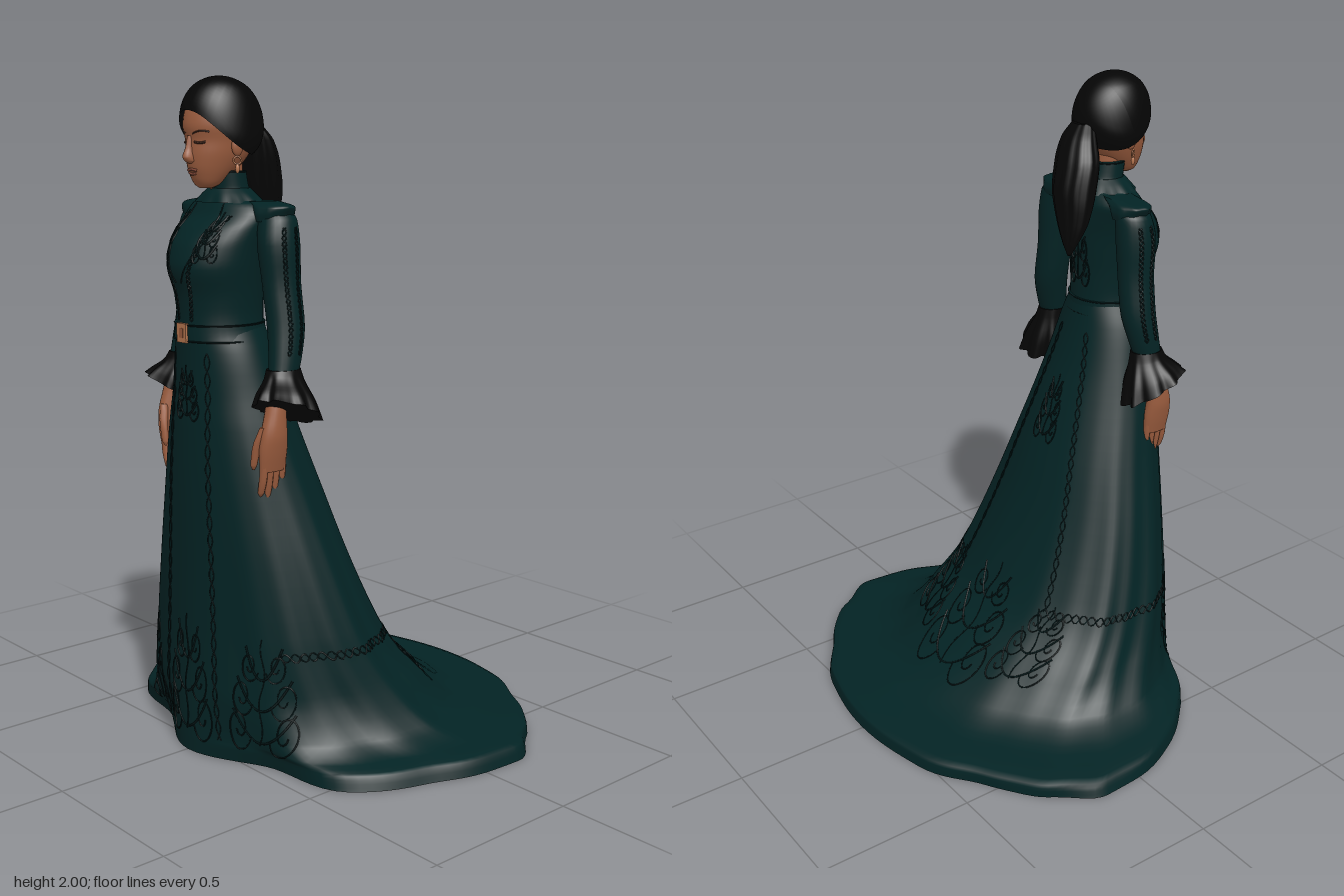
import * as THREE from 'three';

const mat = (name, color) => {
  const m = new THREE.MeshStandardMaterial({ color });
  m.name = name;
  return m;
};

// Smooth monotone interpolation of profile rows [y, cx, rx, zFront, zBack, zWidest]
function rowAt(rows, y) {
  let i = 0;
  while (i < rows.length - 2 && y > rows[i + 1][0]) i++;
  const h = rows[i + 1][0] - rows[i][0];
  const t = Math.min(1, Math.max(0, (y - rows[i][0]) / h));
  const secant = (k, c) => (rows[k + 1][c] - rows[k][c]) / (rows[k + 1][0] - rows[k][0]);
  const slope = (k, c) => {
    if (k === 0) return secant(0, c);
    if (k === rows.length - 1) return secant(k - 1, c);
    const p = secant(k - 1, c), q = secant(k, c);
    return p * q <= 0 ? 0 : (2 * p * q) / (p + q);
  };
  return rows[i].map((v, c) => v * (1 + 2 * t) * (1 - t) ** 2 + rows[i + 1][c] * t * t * (3 - 2 * t)
    + h * (slope(i, c) * t * (1 - t) ** 2 + slope(i + 1, c) * t * t * (t - 1)));
}

// Surface made of horizontal rings: angle 0 is the front, PI/2 is +x
function surface(rawRows, warp) {
  const rows = rawRows.map(r => (r.length > 5 ? r : [...r, (r[3] + r[4]) / 2])).sort((a, b) => a[0] - b[0]);
  const point = (a, y) => {
    const [, cx, rx, zf, zb, zw] = rowAt(rows, y);
    const s = Math.sin(a), c = Math.cos(a);
    const k = warp && warp.fold ? 1 + warp.fold(a, y) : 1;
    const p = new THREE.Vector3(cx + rx * s * k, y, zw + (c > 0 ? zf - zw : zw - zb) * c * k);
    if (warp && warp.shear) p.y += warp.shear(p, a, cx, zw);
    return p;
  };
  // Point at a given x, on the front or back half
  const atX = (x, y, back) => {
    const r = rowAt(rows, y);
    const a = Math.asin(Math.max(-1, Math.min(1, (x - r[1]) / r[2])));
    return point(back ? Math.PI - a : a, y);
  };
  return { rows, point, atX };
}

// Closed loft over a surface, with end caps
function loft(surf, seg = 32, steps = 4) {
  const ys = [], pos = [], idx = [];
  surf.rows.forEach((r, i) => {
    const next = surf.rows[i + 1];
    for (let k = 0; k < (next ? steps : 1); k++) ys.push(next ? r[0] + (next[0] - r[0]) * k / steps : r[0]);
  });
  const ring = y => {
    for (let j = 0; j < seg; j++) pos.push(...surf.point(j / seg * Math.PI * 2, y).toArray());
  };
  ys.forEach(ring);
  for (let i = 0; i < ys.length - 1; i++) for (let j = 0; j < seg; j++) {
    const a = i * seg + j, b = i * seg + (j + 1) % seg;
    idx.push(a, b, b + seg, a, b + seg, a + seg);
  }
  [0, ys.length - 1].forEach((r, top) => {
    const base = pos.length / 3;
    ring(ys[r]);
    const c = new THREE.Vector3();
    for (let j = 0; j < seg; j++) c.add(new THREE.Vector3().fromArray(pos, (base + j) * 3));
    pos.push(...c.divideScalar(seg).toArray());
    for (let j = 0; j < seg; j++) {
      const a = base + j, b = base + (j + 1) % seg;
      idx.push(base + seg, top ? a : b, top ? b : a);
    }
  });
  const g = new THREE.BufferGeometry();
  g.setAttribute('position', new THREE.Float32BufferAttribute(pos, 3));
  g.setIndex(idx);
  g.computeVertexNormals();
  return g;
}

function mirrorX(g) {
  const m = g.clone().scale(-1, 1, 1), ix = m.index.array;
  for (let i = 0; i < ix.length; i += 3) [ix[i], ix[i + 1]] = [ix[i + 1], ix[i]];
  m.computeVertexNormals();
  return m;
}

const cord = (pts, r = 0.0026) =>
  new THREE.TubeGeometry(new THREE.CatmullRomCurve3(pts), pts.length * 2, r, 4);
const sample = (n, fn) => Array.from({ length: n + 1 }, (_, i) => fn(i / n));
const ball = (r, sx, sy, sz, x, y, z) => new THREE.SphereGeometry(r, 20, 14).scale(sx, sy, sz).translate(x, y, z);

// Spread of the hem at 16 even angles, from the front round by +x
const HEM = [1, .93, 1.07, 1.02, 1.005, .935, .91, .98, 1, .98, .91, .935, 1.01, 1.01, 1, .9];
function hemSpread(a) {
  const u = ((a / (Math.PI * 2)) * 16 + 32) % 16, i = Math.floor(u), t = u - i;
  return THREE.MathUtils.lerp(HEM[i], HEM[(i + 1) % 16], t * t * (3 - 2 * t)) - 1;
}

export function createModel() {
  const model = new THREE.Group();
  const teal = mat('teal cloth', 0x032324), stitch = mat('dark embroidery', 0x031516);
  const black = mat('black hair and lace', 0x050505), skin = mat('skin', 0x9a5c3e);
  const lip = mat('lips', 0x864b3a), dark = mat('eyes and brows', 0x42281d), gold = mat('copper metal', 0xb5754f);
  black.side = THREE.DoubleSide;
  const add = (name, g, m) => {
    const mesh = new THREE.Mesh(g, m);
    mesh.name = name;
    model.add(mesh);
  };
  const pair = (name, g, m) => { add(name + 'Left', g, m); add(name + 'Right', mirrorX(g), m); };

  // Skirt with folds and a spreading train
  const skirt = surface([
    [1.3, 0, .12, .545, .285, .41], [1.22, 0, .155, .54, .268, .4], [1.1, 0, .187, .54, .235, .38],
    [1, 0, .215, .545, .2, .37], [.8, 0, .272, .55, .13, .33], [.6, 0, .332, .55, .06, .29],
    [.4, 0, .388, .552, -.03, .24], [.3, 0, .415, .555, -.09, .2], [.2, 0, .45, .558, -.19, .14],
    [.1, 0, .51, .56, -.31, .06], [.06, 0, .585, .56, -.4, 0], [.04, 0, .7, .56, -.56, -.12], [0, 0, .715, .56, -.568, -.13],
  ], { fold: (a, y) => {
    const low = Math.min(1, Math.max(0, (1.15 - y) / .8)), hem = Math.max(0, 1 - y / .2);
    const ripple = (.003 + .014 * Math.sin(a) ** 2) * (1 - .75 * hem);
    return low * ripple * (Math.sin(9 * a + .4) + .6 * Math.cos(19 * a)) + hem * hemSpread(a);
  } });
  add('skirt', loft(skirt, 128, 4), teal);

  // Bodice, collar, belt and buckle
  const bodice = surface([
    [1.26, 0, .126, .546, .283], [1.32, 0, .122, .545, .285], [1.38, 0, .127, .55, .285], [1.46, 0, .14, .572, .28],
    [1.52, 0, .149, .556, .278], [1.57, 0, .158, .52, .275], [1.61, 0, .165, .475, .275], [1.64, 0, .145, .455, .285],
    [1.66, 0, .085, .442, .3], [1.68, 0, .062, .435, .318], [1.735, 0, .06, .442, .33],
  ]);
  add('bodice', loft(bodice, 40), teal);
  add('collarRuffle', loft(surface([
    [1.685, 0, .064, .437, .316], [1.668, 0, .09, .45, .302], [1.645, 0, .12, .465, .285],
  ], { fold: (a, y) => (1.685 - y) * .8 * Math.cos(12 * a) }), 72), teal);
  const belt = surface([[1.25, 0, .139, .55, .276], [1.275, 0, .13, .551, .28], [1.3, 0, .127, .551, .281]]);
  add('belt', loft(belt, 40, 2), teal);
  for (const y of [1.252, 1.298]) add('beltEdge', cord(sample(40, t => belt.point(t * Math.PI * 2, y))), stitch);
  add('buckle', new THREE.BoxGeometry(.044, .056, .01).translate(0, 1.275, .551), gold);
  add('buckleInset', new THREE.BoxGeometry(.018, .028, .004).translate(0, 1.275, .5555), skin);
  add('throat', ball(.014, .8, 1.6, .4, 0, 1.705, .441), skin);

  // Sleeves, pointed shoulder flanges and lace cuffs
  const sleeve = surface([
    [1.635, .165, .04, .385, .305], [1.6, .184, .054, .402, .288], [1.53, .194, .057, .415, .285], [1.42, .203, .051, .407, .288],
    [1.32, .218, .05, .405, .288], [1.2, .237, .042, .415, .315], [1.12, .245, .035, .43, .35],
  ]);
  pair('sleeve', loft(sleeve, 24), teal);
  pair('shoulderFlange', loft(surface([
    [1.595, .17, .05, .405, .288], [1.615, .168, .06, .408, .285], [1.632, .162, .075, .404, .288], [1.64, .15, .082, .398, .292], [1.65, .115, .055, .39, .3],
  ], { fold: a => .03 * Math.cos(9 * a) }), 36), teal);
  pair('cuff', loft(surface([
    [1.18, .238, .043, .425, .318], [1.15, .243, .05, .435, .31], [1.1, .256, .074, .465, .288], [1.06, .266, .084, .482, .277],
  ], {
    fold: (a, y) => (1.18 - y) * .65 * (Math.cos(9 * a) + .4 * Math.sin(14 * a)),
    shear: (p, a, cx, zw) => (1.18 - p.y) * (2.5 * (p.x - cx) + 3.4 * (p.z - zw)),
  }), 90), black);

  // Hands
  pair('hand', loft(surface([
    [1.12, .245, .026, .43, .37], [1.06, .25, .028, .445, .378], [1, .252, .029, .462, .375],
    [.95, .248, .026, .467, .371], [.89, .242, .018, .462, .374],
  ]), 20), skin);
  for (let i = 0; i < 4; i++) {
    const z = .384 + i * .022, tip = .815 - (i === 1 || i === 2 ? .015 : 0) + (i === 0 ? .015 : 0);
    pair('finger' + (i + 1), loft(surface([
      [.93, .246, .013, z + .011, z - .011], [.87, .24, .013, z + .011, z - .011],
      [tip + .012, .229, .01, z + .009, z - .01], [tip, .226, .003, z + .002, z - .004],
    ]), 10, 2), skin);
  }
  pair('thumb', loft(surface([
    [1.02, .245, .012, .462, .435], [.96, .228, .012, .477, .452], [.91, .219, .01, .477, .457], [.895, .217, .003, .47, .463],
  ]), 10, 3), skin);

  // Head and neck
  const head = surface([
    [1.686, 0, .016, .478, .44], [1.695, 0, .033, .49, .42], [1.715, 0, .047, .502, .39], [1.75, 0, .064, .513, .345],
    [1.785, 0, .076, .516, .315], [1.82, 0, .083, .514, .3], [1.86, 0, .09, .521, .295], [1.9, 0, .091, .514, .295],
    [1.94, 0, .08, .49, .31], [1.97, 0, .055, .45, .34],
  ]);
  add('head', loft(head, 40), skin);
  add('neck', new THREE.CylinderGeometry(.046, .05, .16, 24).translate(0, 1.72, .385), skin);
  add('nose', loft(surface([
    [1.835, 0, .008, .521, .49], [1.8, 0, .01, .529, .49], [1.775, 0, .015, .538, .49], [1.764, 0, .016, .531, .49], [1.757, 0, .01, .52, .49],
  ]), 16), skin);
  add('upperLip', cord(sample(8, t => head.atX((t - .5) * .042, 1.737 + .003 * Math.sin(t * Math.PI))), .0045), lip);
  add('lowerLip', cord(sample(8, t => head.atX((t - .5) * .034, 1.73 - .003 * Math.sin(t * Math.PI))), .0045), lip);
  pair('eye', cord(sample(8, t => head.atX(.018 + t * .03, 1.817 - .003 * Math.sin(t * Math.PI))), .0035), dark);
  pair('eyebrow', cord(sample(8, t => head.atX(.016 + t * .044, 1.84 + .008 * Math.sin(t * 2.4))), .0025), dark);
  pair('ear', ball(.026, .4, 1.1, .75, .085, 1.805, .41), skin);
  pair('earring', new THREE.TorusGeometry(.011, .003, 6, 16).rotateY(1).translate(.091, 1.765, .415), gold);
  pair('earringDrop', ball(.008, .8, 1.7, .8, .091, 1.742, .415), gold);

  // Hair swept back from an arched hairline into a ponytail
  const hair = new THREE.SphereGeometry(.12, 40, 24, 0, Math.PI * 2, 0, 1.93)
    .scale(.95, 1, 1.07).rotateX(-.54).translate(0, 1.88, .4);
  const hp = hair.attributes.position;
  for (let i = 0; i < hp.count; i++) {
    const low = Math.min(1, Math.max(0, (1.97 - hp.getY(i)) / .08));
    hp.setY(i, hp.getY(i) - 3.5 * low * hp.getX(i) ** 2);
  }
  hair.computeVertexNormals();
  add('hair', hair, black);
  add('hairTie', new THREE.TorusGeometry(.034, .012, 8, 20).rotateX(.5).translate(0, 1.835, .275), black);
  add('ponytail', loft(surface([
    [1.86, 0, .04, .32, .262], [1.82, -.012, .062, .312, .222], [1.75, -.032, .078, .305, .186], [1.66, -.045, .073, .285, .165],
    [1.58, -.06, .055, .255, .166], [1.52, -.073, .028, .215, .17], [1.48, -.08, .004, .188, .178],
  ], { fold: a => .03 * Math.cos(11 * a) }), 66), black);

  // Scrolling embroidery: a stem with mirrored curls
  const motif = (name, surf, x0, y0, w, h, back) => {
    const p = (u, v) => surf.atX(x0 + u * w, y0 + v * h, back);
    add(name + 'Stem', cord(sample(14, t => p(.05 * Math.sin(t * 12), t))), stitch);
    for (const s of [-1, 1]) for (const [cu, cv, r] of [[.5, .14, .26], [.42, .45, .22], [.26, .74, .17]]) {
      add(name + 'Curl', cord(sample(20, t => {
        const q = r * (1.15 - .9 * t), a = Math.PI * (1.1 + 2.8 * t);
        return p(s * (cu + q * Math.cos(a)), cv + q * .8 * Math.sin(a));
      })), stitch);
      add(name + 'Leaf', cord(sample(8, t => p(s * (cu + r * .5) * t, cv - .12 + .3 * t * t)), .0035), stitch);
    }
  };
  [[0, .07, .14, .36], [-.26, .07, .13, .33], [.26, .07, .13, .33], [0, 1.03, .07, .15]]
    .forEach(([x, y, w, h]) => motif('skirtFront', skirt, x, y, w, h, false));
  [[0, .13, .2, .3], [-.25, .17, .12, .2], [.25, .17, .12, .2], [0, .85, .07, .2]]
    .forEach(([x, y, w, h]) => motif('skirtBack', skirt, x, y, w, h, true));
  motif('bodiceBack', bodice, 0, 1.36, .06, .24, true);
  for (const x of [-.085, .085]) motif('bodiceFront', bodice, x, 1.49, .04, .13, false);

  // Vines down the panels and around the skirt
  for (const s of [-1, 1]) {
    for (const ph of [0, Math.PI]) {
      const wave = t => .008 * Math.sin(t * 70 + ph);
      add('panelVine', cord(sample(80, t => skirt.atX(s * (.075 + .05 * t + wave(t)), 1.22 - 1.16 * t))), stitch);
      add('backVine', cord(sample(60, t => skirt.atX(s * (.06 + .17 * t + wave(t)), 1.2 - .85 * t, true))), stitch);
      add('sideBorder', cord(sample(60, t => skirt.point(s * (.85 + 1.75 * t), .345 + wave(t) * 1.6))), stitch);
      add('bodiceVine', cord(sample(36, t => bodice.atX(s * (.03 + .075 * t * t + wave(t) * .8), 1.31 + .3 * t))), stitch);
      const vine = cord(sample(40, t => sleeve.point(Math.PI / 2 + s * .35 + 14 * wave(t), 1.22 + .36 * t)));
      pair('sleeveVine', vine, stitch);
    }
    add('lapelEdge', cord(sample(12, t => bodice.atX(s * (.012 + .06 * Math.sin(t * 2.2)), 1.42 + .23 * t))), stitch);
  }
  add('collarTrim', cord(sample(40, t => bodice.point(t * Math.PI * 2, 1.732))), stitch);
  return model;
}
